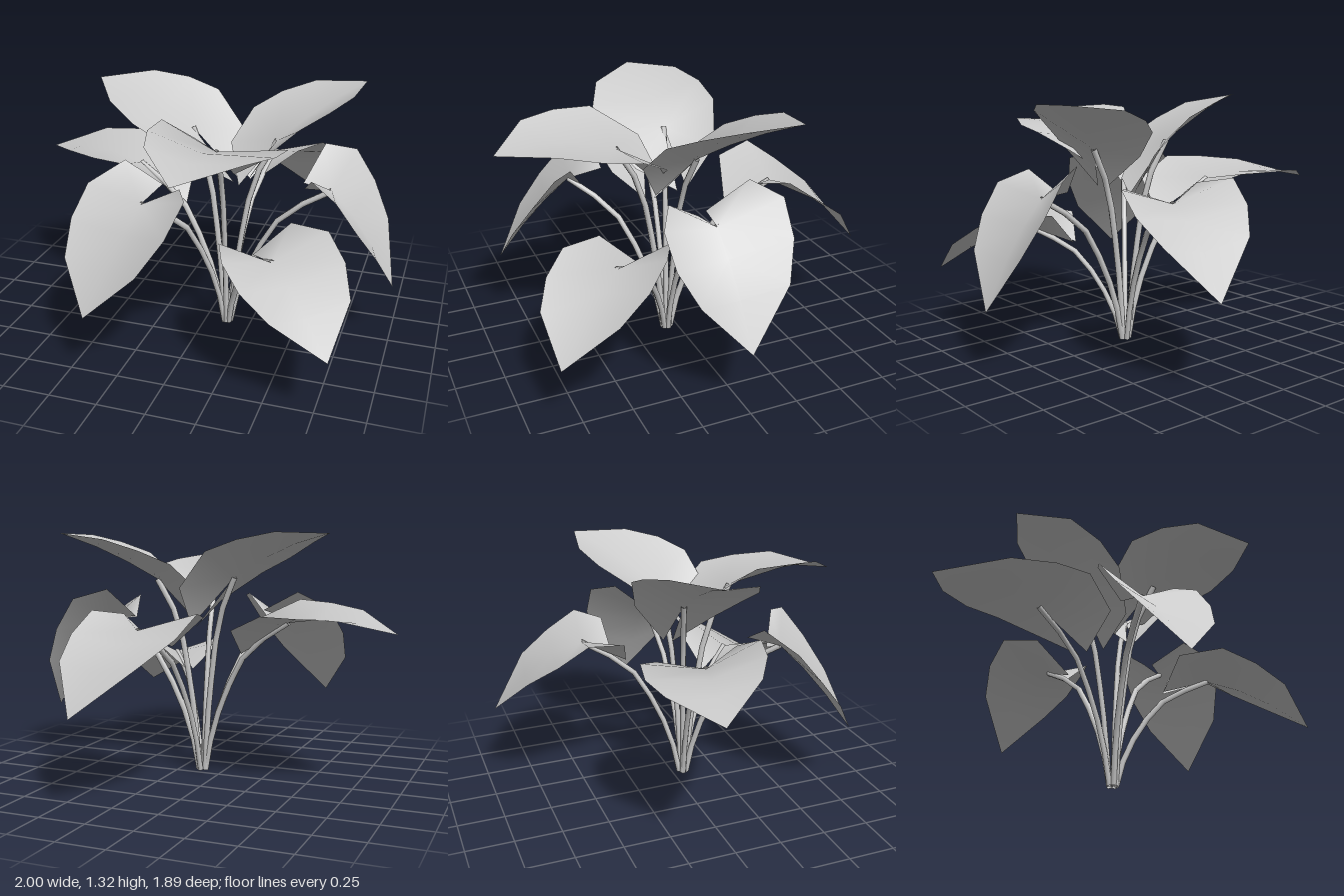
import * as THREE from 'three';

const V = (a) => new THREE.Vector3(...a);

// One entry per leaf: stem joint, tip, widest rim point on either side,
// upward bulge of the midrib and relative length of the [right, left] back lobes
const LEAVES = [
  { name: 'backLeaf', joint: [0.24, 0.83, -0.48], tip: [0.36, 0.46, -0.95], left: [-0.11, 0.93, -0.53], right: [0.52, 0.92, -0.44], bulge: 0.07, lobes: [0.75, 1.05] },
  { name: 'lowRightLeaf', joint: [-0.4, 0.85, -0.02], tip: [-1, 0.83, -0.18], left: [-0.37, 0.95, 0.29], right: [-0.36, 0.91, -0.35], bulge: 0.04, lobes: [1, 1] },
  { name: 'highRightLeaf', joint: [-0.1, 1.08, -0.02], tip: [-0.61, 1.31, -0.01], left: [-0.14, 1.09, 0.31], right: [-0.04, 1.22, -0.28], bulge: 0.03, lobes: [1, 1] },
  { name: 'highLeftLeaf', joint: [0.36, 1.06, 0], tip: [0.75, 1.31, -0.36], left: [0.17, 1.15, -0.24], right: [0.52, 1.2, 0.23], bulge: 0.02, lobes: [0.85, 0.85] },
  { name: 'lowLeftLeaf', joint: [0.66, 0.83, 0.03], tip: [1, 0.32, 0], left: [0.73, 0.96, -0.28], right: [0.73, 0.89, 0.33], bulge: 0.05, lobes: [0.9, 1] },
  { name: 'frontRightLeaf', joint: [-0.2, 0.83, 0.49], tip: [-0.37, 0.36, 0.85], left: [0.08, 0.94, 0.64], right: [-0.5, 0.89, 0.44], bulge: 0.03, lobes: [1, 0.4] },
  { name: 'frontLeftLeaf', joint: [0.46, 0.6, 0.46], tip: [0.82, 0.35, 0.86], left: [0.7, 0.73, 0.3], right: [0.27, 0.67, 0.67], bulge: 0.04, lobes: [1, 1] },
  { name: 'frontLeaf', joint: [0.14, 1.09, 0.34], tip: [0.12, 1.13, 0.94], left: [0.49, 1.13, 0.32], right: [-0.12, 1.24, 0.38], bulge: 0.05, lobes: [0.95, 0.7] },
];

const MIDRIB = [0, 0.32, 0.64, 1];

// Folded heart-shaped blade whose back lobes curl down beside a slit at the joint
function bladeGeometry({ joint, tip, left, right, bulge, lobes }) {
  const p = V(joint), axis = V(tip).sub(p);
  const along = (u) => {
    const q = p.clone().addScaledVector(axis, u);
    q.y += 4 * bulge * u * (1 - u);
    return q;
  };
  const points = MIDRIB.map(along), index = [];
  [right, left].forEach((side, s) => {
    const wide = V(side), lateral = wide.clone().sub(p);
    const inner = along(-0.46 * lobes[s]).addScaledVector(lateral, 0.08);
    inner.y -= 0.09;
    const lobe = along(-0.38 * lobes[s]).addScaledVector(lateral, 0.7);
    // The fold flattens towards the tip
    const front = points[2].clone().add(lateral.clone().multiply(V([0.74, 0.45, 0.74])));
    const middle = wide.clone().lerp(front, 0.5);
    middle.addScaledVector(middle.clone().sub(points[1]), 0.12);
    const r = points.length;
    points.push(inner, lobe, wide, middle, front);
    const faces = [
      [0, r, r + 1], [0, r + 1, r + 2], [0, r + 2, r + 3], [0, r + 3, 1],
      [1, r + 3, r + 4], [1, r + 4, 2], [2, r + 4, 3],
    ];
    faces.forEach(([a, b, c]) => index.push(...(s === 0 ? [a, b, c] : [a, c, b])));
  });
  const g = new THREE.BufferGeometry().setFromPoints(points);
  g.setIndex(index);
  g.computeVertexNormals();
  return g;
}

// Stem rising steeply from the shared root, then leaning out to the joint
function stemGeometry({ joint }) {
  const end = V(joint);
  const out = new THREE.Vector3(end.x - 0.12, 0, end.z - 0.06).normalize();
  const root = new THREE.Vector3(0.12, 0, 0.06).addScaledVector(out, 0.02);
  const at = (h, k) => new THREE.Vector3(
    root.x + (end.x - root.x) * h, end.y * k, root.z + (end.z - root.z) * h);
  const knots = [root, at(0.09, 0.26), at(0.26, 0.53), at(0.52, 0.8), end];
  const curve = new THREE.CatmullRomCurve3(knots, false, 'centripetal');
  return new THREE.TubeGeometry(curve, 6, 0.016, 6, false);
}

export function createModel() {
  const model = new THREE.Group();
  model.name = 'foliagePlant';
  const material = new THREE.MeshStandardMaterial({ color: 0xcccccc, side: THREE.DoubleSide });
  for (const leaf of LEAVES) {
    const group = new THREE.Group();
    group.name = leaf.name;
    const blade = new THREE.Mesh(bladeGeometry(leaf), material);
    blade.name = 'blade';
    const stem = new THREE.Mesh(stemGeometry(leaf), material);
    stem.name = 'stem';
    group.add(blade, stem);
    model.add(group);
  }
  return model;
}
